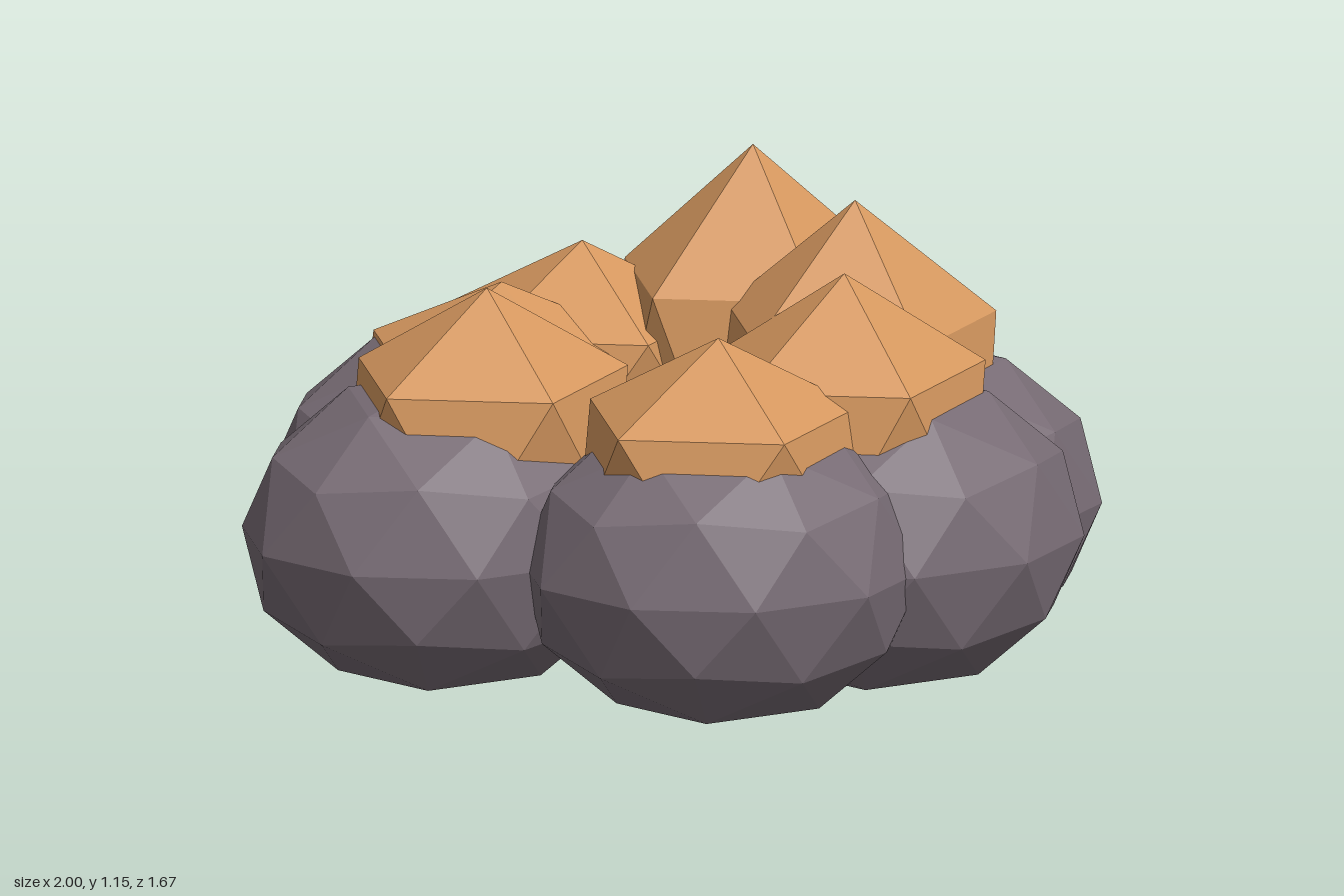
import * as THREE from 'three';

const stone = new THREE.MeshStandardMaterial({ name: 'stone grey', color: 0x786c75, flatShading: true });
const flameOrange = new THREE.MeshStandardMaterial({ name: 'flame orange', color: 0xd6985f, flatShading: true });

// Icosahedral ball turned so that one vertex points straight up
function uprightIco(detail) {
  const geo = new THREE.IcosahedronGeometry(1, detail);
  geo.rotateZ(-Math.atan2(1, (1 + Math.sqrt(5)) / 2));
  geo.computeVertexNormals();
  return geo;
}

function addPart(parent, name, geo, material, position, scale) {
  const mesh = new THREE.Mesh(geo, material);
  mesh.name = name;
  mesh.position.set(...position);
  mesh.scale.set(...scale);
  parent.add(mesh);
}

export function createModel() {
  const model = new THREE.Group();
  model.name = 'campfire';

  // Ring of flattened stones, open at the back: x, z
  const stones = new THREE.Group();
  stones.name = 'stoneRing';
  const stoneGeo = uprightIco(1);
  const stoneSpots = [
    [-0.545, 0.03], [0.04, 0.42], [0.455, 0.21],
    [0.545, -0.05], [0.33, -0.425], [-0.41, -0.365],
  ];
  for (const [x, z] of stoneSpots)
    addPart(stones, 'stone', stoneGeo, stone, [x, 0.38, z], [0.478, 0.38, 0.415]);

  // Faceted flames of varied height: x, z, tip height
  const flames = new THREE.Group();
  flames.name = 'flames';
  const flameGeo = uprightIco(0);
  const flameSpots = [
    [-0.443, 0.02, 0.96], [0.034, 0.395, 0.92], [0.37, 0.19, 1.0],
    [0.44, -0.05, 1.105], [0.264, -0.4, 1.15], [-0.124, -0.482, 0.915],
    [-0.34, -0.345, 0.865],
  ];
  const baseY = 0.59;
  for (const [x, z, tip] of flameSpots)
    addPart(flames, 'flame', flameGeo, flameOrange, [x, baseY, z], [0.373, tip - baseY, 0.335]);

  model.add(stones, flames);
  return model;
}
